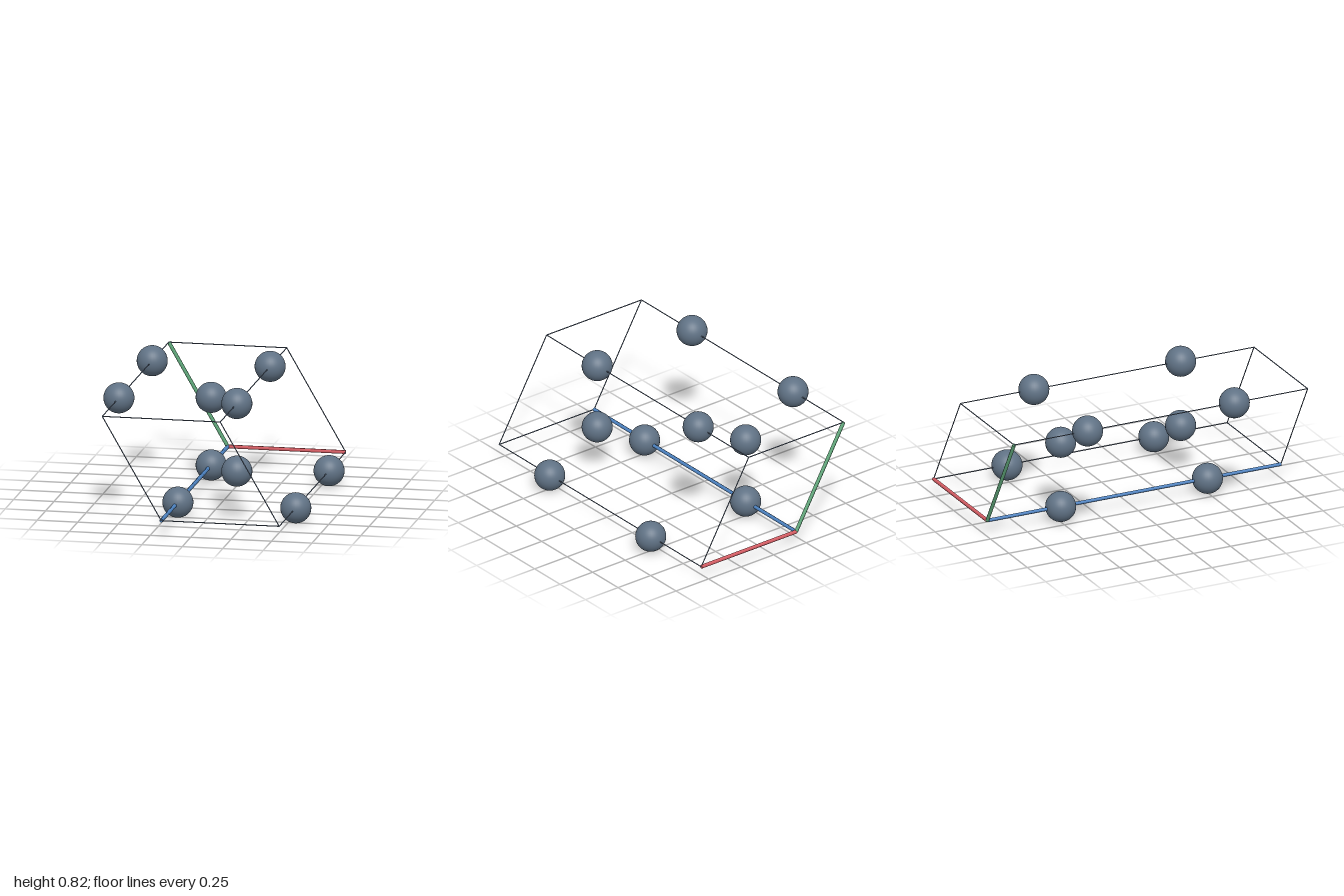
import * as THREE from 'three';

const mat = (name, color) => {
  const m = new THREE.MeshStandardMaterial({ color });
  m.name = name;
  return m;
};

export function createModel() {
  const group = new THREE.Group();
  group.name = 'crystalCell';
  const slate = mat('slate', 0x607285);
  const grey = mat('blueGrey', 0x64748b);
  const red = mat('red', 0xd95f66);
  const green = mat('green', 0x62ab7d);
  const blue = mat('blue', 0x4f86c6);

  // Hexagonal lattice: origin at the lower back corner, a along x, b at 120 degrees, c along z
  const side = 0.729, depth = 1.985, atomRadius = 0.094;
  const origin = new THREE.Vector3(-side / 4, atomRadius, -0.988);
  const a = new THREE.Vector3(side, 0, 0);
  const b = new THREE.Vector3(-side / 2, side * Math.sqrt(3) / 2, 0);
  const c = new THREE.Vector3(0, 0, depth);
  const point = (u, v, w) => origin.clone()
    .addScaledVector(a, u).addScaledVector(b, v).addScaledVector(c, w);

  // Six-sided rod between two points
  function rod(name, p, q, radius, material) {
    const dir = q.clone().sub(p);
    const mesh = new THREE.Mesh(
      new THREE.CylinderGeometry(radius, radius, dir.length(), 6), material);
    mesh.position.copy(p).add(q).multiplyScalar(0.5);
    mesh.quaternion.setFromUnitVectors(new THREE.Vector3(0, 1, 0), dir.normalize());
    mesh.name = name;
    group.add(mesh);
  }

  // Coloured axes from the origin, and thin rods on the other nine edges
  const axes = [['axisA', red], ['axisB', green], ['axisC', blue]];
  axes.forEach(([name, material], k) => {
    for (const s of [0, 1]) for (const t of [0, 1]) {
      const from = [0, 0, 0];
      from[(k + 1) % 3] = s;
      from[(k + 2) % 3] = t;
      const to = from.slice();
      to[k] = 1;
      const isAxis = s + t === 0;
      rod(isAxis ? name : 'cellEdge', point(...from), point(...to),
        isAxis ? 0.0118 : 0.0033, isAxis ? material : grey);
    }
  });

  // Atoms on the four long edges, plus two inside the cell
  const sites = [[1 / 3, 2 / 3, 0.25], [2 / 3, 1 / 3, 0.75]];
  for (const u of [0, 1]) for (const v of [0, 1]) for (const w of [0.25, 0.75]) sites.push([u, v, w]);
  const ball = new THREE.SphereGeometry(atomRadius, 32, 24);
  for (const site of sites) {
    const atom = new THREE.Mesh(ball, slate);
    atom.position.copy(point(...site));
    atom.name = 'atom';
    group.add(atom);
  }
  return group;
}
